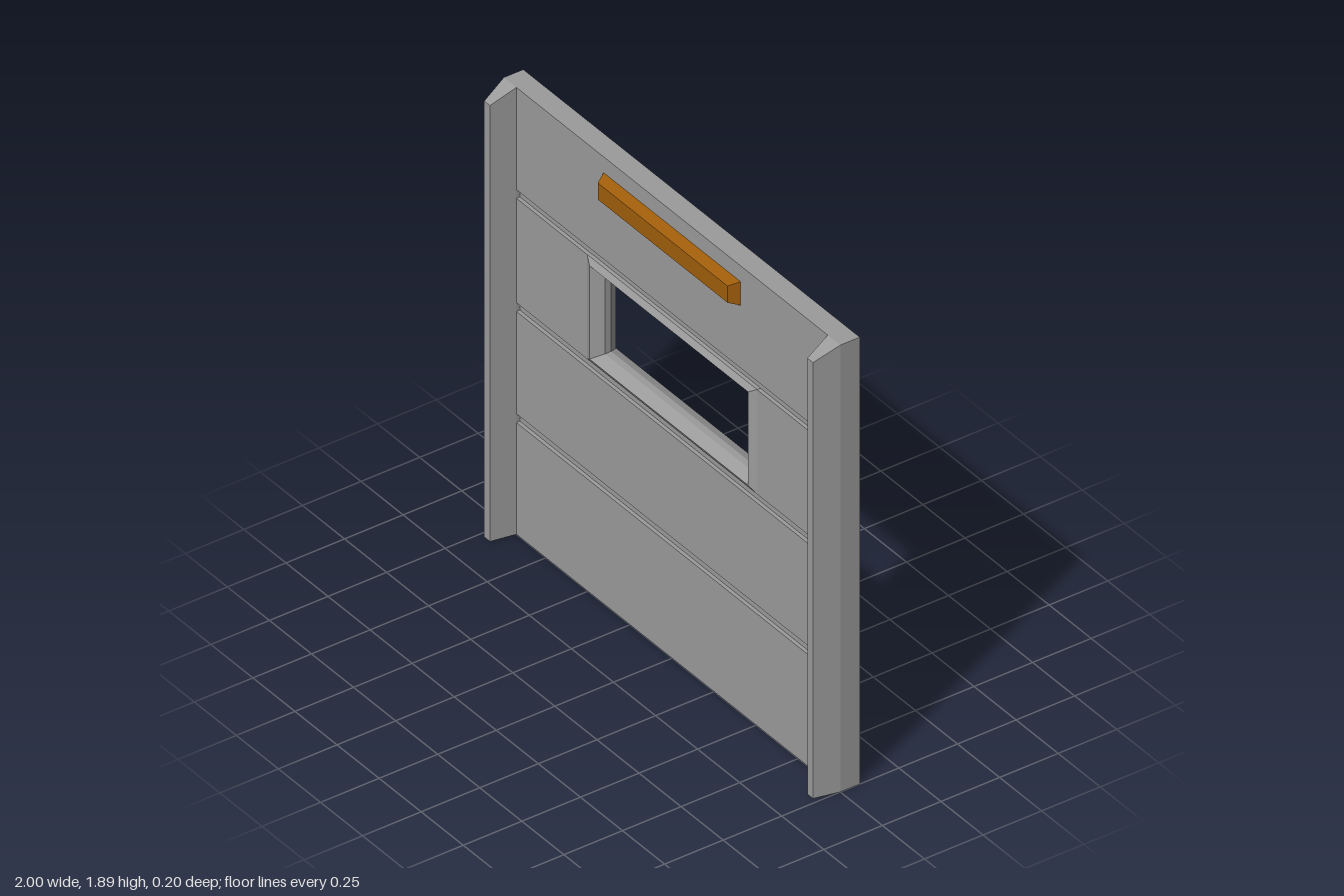
import * as THREE from 'three';

const H = 1.887, BACK = -0.083, GROOVE = -0.015;
const WIN_Y = 1.199;

const grey = new THREE.MeshStandardMaterial({ color: 0x9b9b9b, flatShading: true });
const orange = new THREE.MeshStandardMaterial({ color: 0x9f5d0b, flatShading: true });

function add(group, name, geometry, material = grey) {
  const mesh = new THREE.Mesh(geometry, material);
  mesh.name = name;
  group.add(mesh);
  return mesh;
}

// Box given by its limits
function box(x0, x1, y0, y1, z0, z1) {
  return new THREE.BoxGeometry(x1 - x0, y1 - y0, z1 - z0)
    .translate((x0 + x1) / 2, (y0 + y1) / 2, (z0 + z1) / 2);
}

// Rectangular rings [halfWidth, halfHeight, z] joined in a closed loop
function rectLoop(rings) {
  const corners = [[1, 1], [-1, 1], [-1, -1], [1, -1]];
  const pos = [], at = (r, c) => {
    const [w, h, z] = rings[r % rings.length], [sx, sy] = corners[c % 4];
    return [sx * w, sy * h, z];
  };
  for (let r = 0; r < rings.length; r++) {
    for (let c = 0; c < 4; c++) {
      const a = at(r, c), b = at(r, c + 1), d = at(r + 1, c), e = at(r + 1, c + 1);
      pos.push(...a, ...b, ...d, ...b, ...e, ...d);
    }
  }
  const g = new THREE.BufferGeometry();
  g.setAttribute('position', new THREE.Float32BufferAttribute(pos, 3));
  g.computeVertexNormals();
  return g;
}

export function createModel() {
  const model = new THREE.Group();
  model.name = 'wallPanel';

  // Back slab with the window opening
  const slab = new THREE.Shape([[-1, 0], [1, 0], [1, H], [-1, H]].map(p => new THREE.Vector2(...p)));
  const hw = 0.485, hh = 0.208;
  slab.holes.push(new THREE.Path([[-hw, -hh], [-hw, hh], [hw, hh], [hw, -hh]]
    .map(([x, y]) => new THREE.Vector2(x, WIN_Y + y))));
  add(model, 'backSlab', new THREE.ExtrudeGeometry(slab, { depth: GROOVE - BACK, bevelEnabled: false })
    .translate(0, 0, BACK));

  // Front boards, separated by shallow grooves
  for (const [y0, y1] of [[0, 0.472], [0.509, 0.941], [1.455, H]]) {
    add(model, 'frontBoard', box(-0.925, 0.925, y0, y1, GROOVE, 0));
  }

  for (const s of [-1, 1]) {
    // Board beside the window
    add(model, 'windowSideBoard', box(s < 0 ? -0.925 : hw, s < 0 ? -hw : 0.925, 0.978, 1.419, GROOVE, 0));

    // Tapered post with a sloping top
    add(model, 'postBase', box(s < 0 ? -1 : 0.925, s < 0 ? -0.925 : 1, 0, H, GROOVE, 0));
    const outline = [[1, 0], [0.925, 0], [0.943, -0.1], [0.977, -0.1]]
      .map(([x, y]) => new THREE.Vector2(s * x, y));
    const post = new THREE.ExtrudeGeometry(new THREE.Shape(outline), { depth: H, bevelEnabled: false })
      .rotateX(-Math.PI / 2);
    const p = post.attributes.position;
    for (let i = 0; i < p.count; i++) {
      if (p.getY(i) > 1) p.setY(i, H - 0.46 * p.getZ(i));
    }
    post.computeVertexNormals();
    add(model, 'post', post);
  }

  // Window frame, bevelled on both faces and narrowest midway
  add(model, 'windowFrame', rectLoop([
    [0.505, 0.221, BACK], [0.505, 0.221, 0], [0.471, 0.197, 0.014],
    [0.44, 0.175, -0.03], [0.44, 0.175, -0.056], [0.471, 0.197, -0.1],
  ])).position.y = WIN_Y;

  // Tapered light bar above the window
  const bar = new THREE.BoxGeometry(0.815, 0.1, 0.04);
  const b = bar.attributes.position;
  for (let i = 0; i < b.count; i++) {
    if (b.getZ(i) > 0) {
      b.setX(i, b.getX(i) - Math.sign(b.getX(i)) * 0.022);
      b.setY(i, b.getY(i) - Math.sign(b.getY(i)) * 0.015);
    }
  }
  bar.computeVertexNormals();
  add(model, 'lightBar', bar, orange).position.set(0, 1.77, 0.02);

  return model;
}
